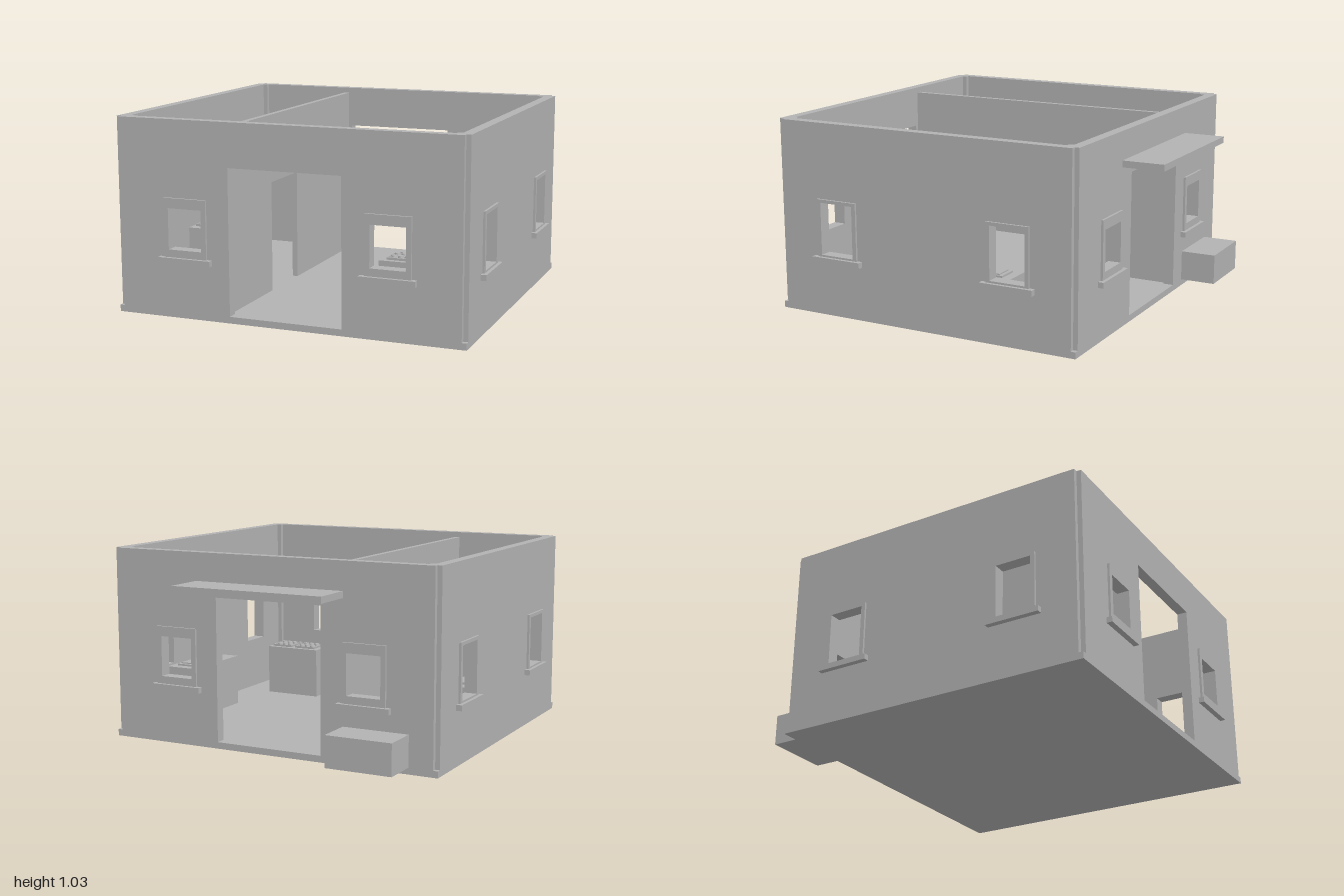
import * as THREE from 'three';

export function createModel() {
  const house = new THREE.Group();
  house.name = 'house';
  const plaster = new THREE.MeshStandardMaterial({ color: 0xb2b2b2 });
  plaster.name = 'grey plaster';

  const X = 0.945, ZF = 0.965, ZB = -0.775; // outer wall faces
  const T = 0.055, NOTCH = 0.025;           // wall thickness, corner groove
  const FLOOR = 0.035, TOP = 1.03;

  const add = (name, geometry, parent = house) => {
    const mesh = new THREE.Mesh(geometry, plaster);
    mesh.name = name;
    parent.add(mesh);
    return mesh;
  };
  // box from its minimum and maximum corners
  const box = (name, x0, x1, y0, y1, z0, z1, parent) => {
    const mesh = add(name, new THREE.BoxGeometry(x1 - x0, y1 - y0, z1 - z0), parent);
    mesh.position.set((x0 + x1) / 2, (y0 + y1) / 2, (z0 + z1) / 2);
    return mesh;
  };
  const rectPath = (a, b, c, d) => new THREE.Path([
    new THREE.Vector2(a, c), new THREE.Vector2(a, d), new THREE.Vector2(b, d), new THREE.Vector2(b, c)]);

  // upright panel with an optional doorway notch and window holes
  const panel = (name, a, b, top, depth, door, windows = []) => {
    const s = new THREE.Shape();
    s.moveTo(a, FLOOR);
    if (door) {
      s.lineTo(door[0], FLOOR);
      s.lineTo(door[0], door[2]);
      s.lineTo(door[1], door[2]);
      s.lineTo(door[1], FLOOR);
    }
    s.lineTo(b, FLOOR);
    s.lineTo(b, top);
    s.lineTo(a, top);
    s.closePath();
    windows.forEach(w => s.holes.push(rectPath(...w)));
    return add(name, new THREE.ExtrudeGeometry(s, { depth, bevelEnabled: false }));
  };

  // window surround: raised frame and sill, facing +z at the wall face
  const surround = (x, z, turn, hole) => {
    const group = new THREE.Group();
    group.name = 'windowSurround';
    const s = new THREE.Shape(rectPath(-0.12, 0.12, 0.31, 0.628).getPoints().reverse());
    s.holes.push(rectPath(...hole));
    add('windowFrame', new THREE.ExtrudeGeometry(s, { depth: 0.012, bevelEnabled: false }), group);
    box('windowSill', -0.147, 0.147, 0.29, 0.32, -0.01, 0.03, group);
    group.position.set(x, 0, z);
    group.rotation.y = turn;
    house.add(group);
  };

  box('floorSlab', -X, X, 0, FLOOR, ZB, ZF);

  // front and back walls, each with a central doorway and two windows
  const endHole = [-0.093, 0.093, 0.36, 0.575], endX = 0.548;
  const shift = (hole, c) => [hole[0] + c, hole[1] + c, hole[2], hole[3]];
  for (const [name, z, face, turn] of [['frontWall', ZF - T, ZF, 0], ['backWall', ZB, ZB, Math.PI]]) {
    panel(name, -X + NOTCH, X - NOTCH, TOP, T, [-0.305, 0.305, 0.8],
      [shift(endHole, -endX), shift(endHole, endX)]).position.z = z;
    for (const x of [-endX, endX]) surround(x, face, turn, endHole);
  }

  // side walls, each with two taller windows
  const sideHole = [-0.097, 0.097, 0.33, 0.61], sideZ = [0.6, -0.407];
  for (const [name, x, side] of [['leftWall', X, 1], ['rightWall', -X + T, -1]]) {
    const wall = panel(name, ZB + NOTCH, ZF - NOTCH, TOP, T, null, sideZ.map(z => shift(sideHole, z)));
    wall.rotation.y = -Math.PI / 2;
    wall.position.x = x;
    for (const z of sideZ) surround(side * X, z, side * Math.PI / 2, sideHole);
  }

  // small posts in the inner corners
  for (const sx of [-1, 1]) for (const [z, sz] of [[ZF - T, -1], [ZB + T, 1]]) {
    const post = box('cornerPost', -0.0125, 0.0125, FLOOR, TOP, -0.0125, 0.0125);
    post.position.x = sx * (X - T - 0.0125);
    post.position.z = z + sz * 0.0125;
  }

  // inner partition with a doorway
  const partition = panel('partition', ZB + T, ZF - T, 1.0, 0.03, [0.075, 0.41, 0.635]);
  partition.rotation.y = -Math.PI / 2;
  partition.position.x = -0.325;

  // canopy and step behind the house
  box('canopy', -0.43, 0.425, 0.845, 0.88, -1.0, ZB);
  box('backStep', -0.79, -0.43, FLOOR, 0.2, -0.97, ZB);

  // counters
  const H = 0.32;
  box('stoveCounter', 0.38, 0.71, FLOOR, H, 0.455, 0.65);
  box('sideCounter', 0.71, X - T, FLOOR, H, -0.375, 0.085);
  box('rightCounter', -X + T, -0.713, FLOOR, H, -0.15, 0.305);
  box('basin', 0.74, 0.855, H, H + 0.01, -0.325, -0.23);
  box('basinBar', 0.75, 0.845, H + 0.01, H + 0.016, -0.305, -0.283);
  box('counterBlock', -0.83, -0.775, H, H + 0.01, -0.08, -0.02);

  // shallow trays holding two rows of three round knobs
  for (const [x, z] of [[0.477, 0.552], [0.63, 0.552], [-0.807, 0.187]]) {
    const tray = new THREE.Group();
    tray.name = 'knobTray';
    box('trayBase', -0.064, 0.064, 0, 0.006, -0.07, 0.07, tray);
    for (const s of [-1, 1]) {
      box('trayRim', s * 0.061 - 0.003, s * 0.061 + 0.003, 0, 0.012, -0.07, 0.07, tray);
      box('trayRim', -0.064, 0.064, 0, 0.012, s * 0.067 - 0.003, s * 0.067 + 0.003, tray);
      for (const c of [-1, 0, 1]) {
        const knob = add('knob', new THREE.CylinderGeometry(0.014, 0.017, 0.012, 12), tray);
        knob.position.set(c * 0.036, 0.011, s * 0.028);
      }
    }
    tray.position.set(x, H, z);
    house.add(tray);
  }
  return house;
}
